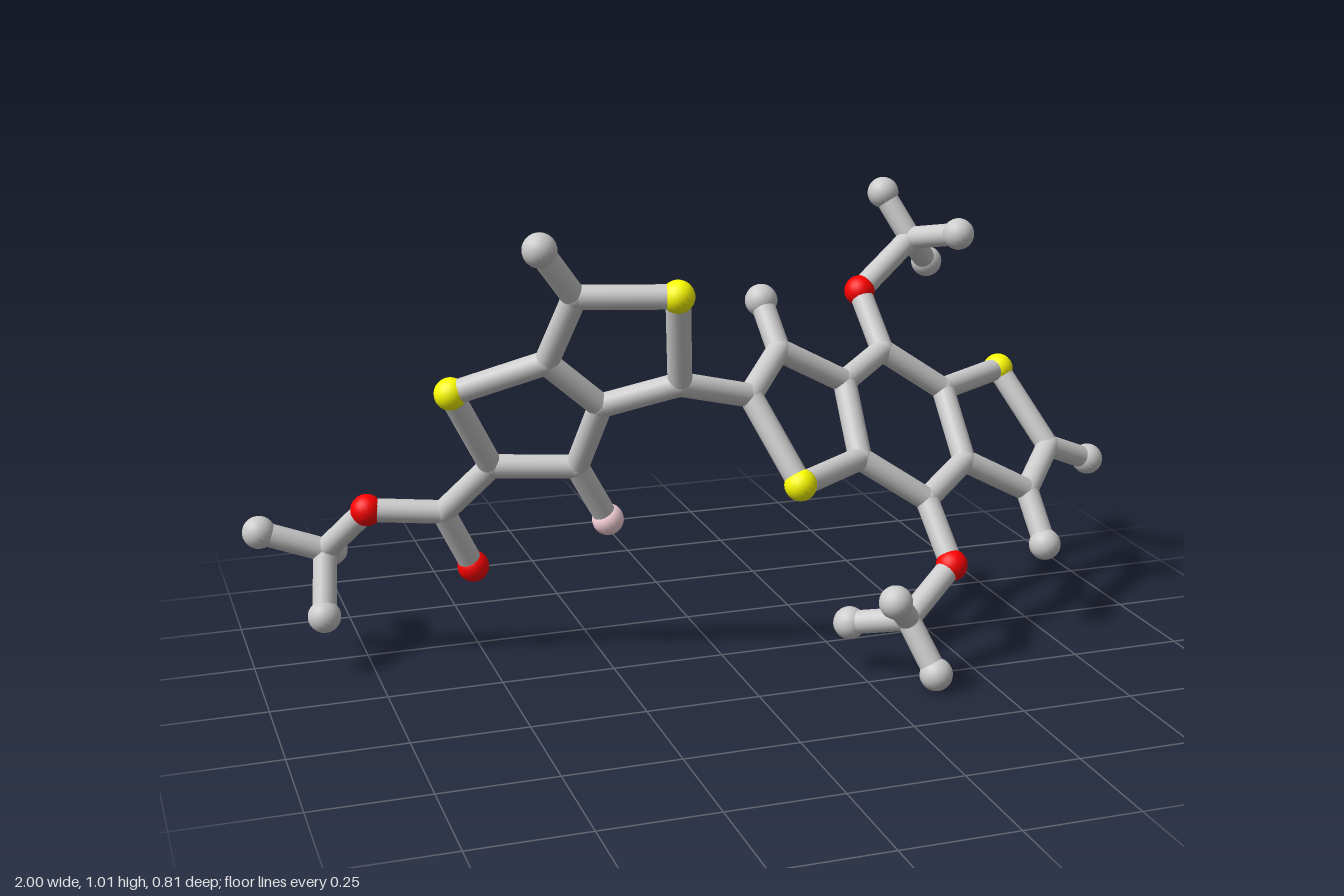
import * as THREE from 'three';

const STICK = 0.026;
const material = (color) => new THREE.MeshStandardMaterial({ color });
const grey = material(0xcccccc);

// Atom kinds: ball radius, material and name
const kinds = {
  carbon: { r: 0.027, mat: grey, name: 'carbonJoint' },
  end: { r: 0.036, mat: grey, name: 'endBall' },
  sulfur: { r: 0.035, mat: material(0xffff00), name: 'sulfurBall' },
  oxygen: { r: 0.035, mat: material(0xff0000), name: 'oxygenBall' },
  fluorine: { r: 0.035, mat: material(0xffd9e0), name: 'pinkBall' },
};

// Each unit: atoms by kind, then chains of bonded atoms
const units = {
  leftFusedRings: {
    carbon: {
      a2: [-0.36, 0.872, 0.138], a3: [-0.13, 0.665, 0.112], a4: [-0.286, 0.617, 0.053],
      a5: [-0.404, 0.722, 0.065], a6: [-0.495, 0.468, -0.075], a7: [-0.318, 0.463, -0.03],
    },
    end: { a1: [-0.437, 0.978, 0.166] },
    sulfur: { s1: [-0.158, 0.87, 0.192], s2: [-0.59, 0.652, -0.012] },
    fluorine: { f: [-0.243, 0.328, -0.058] },
    chains: ['a1 a2 s1 a3 a4 a5 a2', 'a5 s2 a6 a7 a4', 'a7 f'],
  },
  esterGroup: {
    carbon: { c8: [-0.59, 0.355, -0.14], m: [-0.833, 0.26, -0.247] },
    oxygen: { o1: [-0.52, 0.211, -0.176], o2: [-0.75, 0.366, -0.173] },
    end: { h1: [-0.972, 0.312, -0.257], h2: [-0.852, 0.134, -0.172], h3: [-0.802, 0.218, -0.368] },
    chains: ['a6 c8 o1', 'c8 o2 m h1', 'm h2', 'm h3'],
  },
  rightFusedRings: {
    carbon: {
      b1: [0.035, 0.62, 0.085], b2: [0.136, 0.688, -0.017], b3: [0.291, 0.455, 0.083],
      b4: [0.298, 0.6, -0.033], b5: [0.422, 0.642, -0.116], b6: [0.57, 0.542, -0.105],
      b7: [0.573, 0.404, 0.015], b8: [0.441, 0.354, 0.108],
      b9: [0.84, 0.383, -0.097], b10: [0.735, 0.317, 0.012],
    },
    end: { h1: [0.126, 0.781, -0.103], h2: [0.96, 0.332, -0.124], h3: [0.746, 0.21, 0.09] },
    sulfur: { s3: [0.11, 0.446, 0.195], s4: [0.758, 0.55, -0.208] },
    chains: ['a3 b1 b2 b4 b3 s3 b1', 'b4 b5 b6 b7 b8 b3', 'b6 s4 b9 b10 b7', 'b2 h1', 'b9 h2', 'b10 h3'],
  },
  upperMethoxy: {
    carbon: { m: [0.555, 0.862, -0.277] },
    oxygen: { o: [0.409, 0.758, -0.225] },
    end: { h1: [0.505, 0.963, -0.326], h2: [0.623, 0.888, -0.16], h3: [0.633, 0.787, -0.357] },
    chains: ['b5 o m h1', 'm h2', 'm h3'],
  },
  lowerMethoxy: {
    carbon: { m: [0.329, 0.147, 0.276] },
    oxygen: { o: [0.458, 0.233, 0.212] },
    end: { h1: [0.26, 0.225, 0.368], h2: [0.234, 0.114, 0.178], h3: [0.371, 0.037, 0.337] },
    chains: ['b8 o m h1', 'm h2', 'm h3'],
  },
};

// Round stick between two points
function stick(a, b) {
  const dir = b.clone().sub(a);
  const mesh = new THREE.Mesh(new THREE.CylinderGeometry(STICK, STICK, dir.length(), 20, 1, true), grey);
  mesh.position.copy(a).add(b).multiplyScalar(0.5);
  mesh.quaternion.setFromUnitVectors(new THREE.Vector3(0, 1, 0), dir.normalize());
  mesh.name = 'bondStick';
  return mesh;
}

export function createModel() {
  const model = new THREE.Group();
  model.name = 'molecule';
  const points = {}; // later units attach to the ring atoms of earlier ones

  for (const [unitName, unit] of Object.entries(units)) {
    const group = new THREE.Group();
    group.name = unitName;

    // Balls and joints
    for (const [kind, { r, mat, name }] of Object.entries(kinds)) {
      for (const [id, pos] of Object.entries(unit[kind] ?? {})) {
        points[id] = new THREE.Vector3(...pos);
        const ball = new THREE.Mesh(new THREE.SphereGeometry(r, 20, 14), mat);
        ball.position.copy(points[id]);
        ball.name = name;
        group.add(ball);
      }
    }

    // Bonds
    for (const chain of unit.chains) {
      const ids = chain.split(' ');
      for (let i = 1; i < ids.length; i++) group.add(stick(points[ids[i - 1]], points[ids[i]]));
    }
    model.add(group);
  }
  return model;
}
